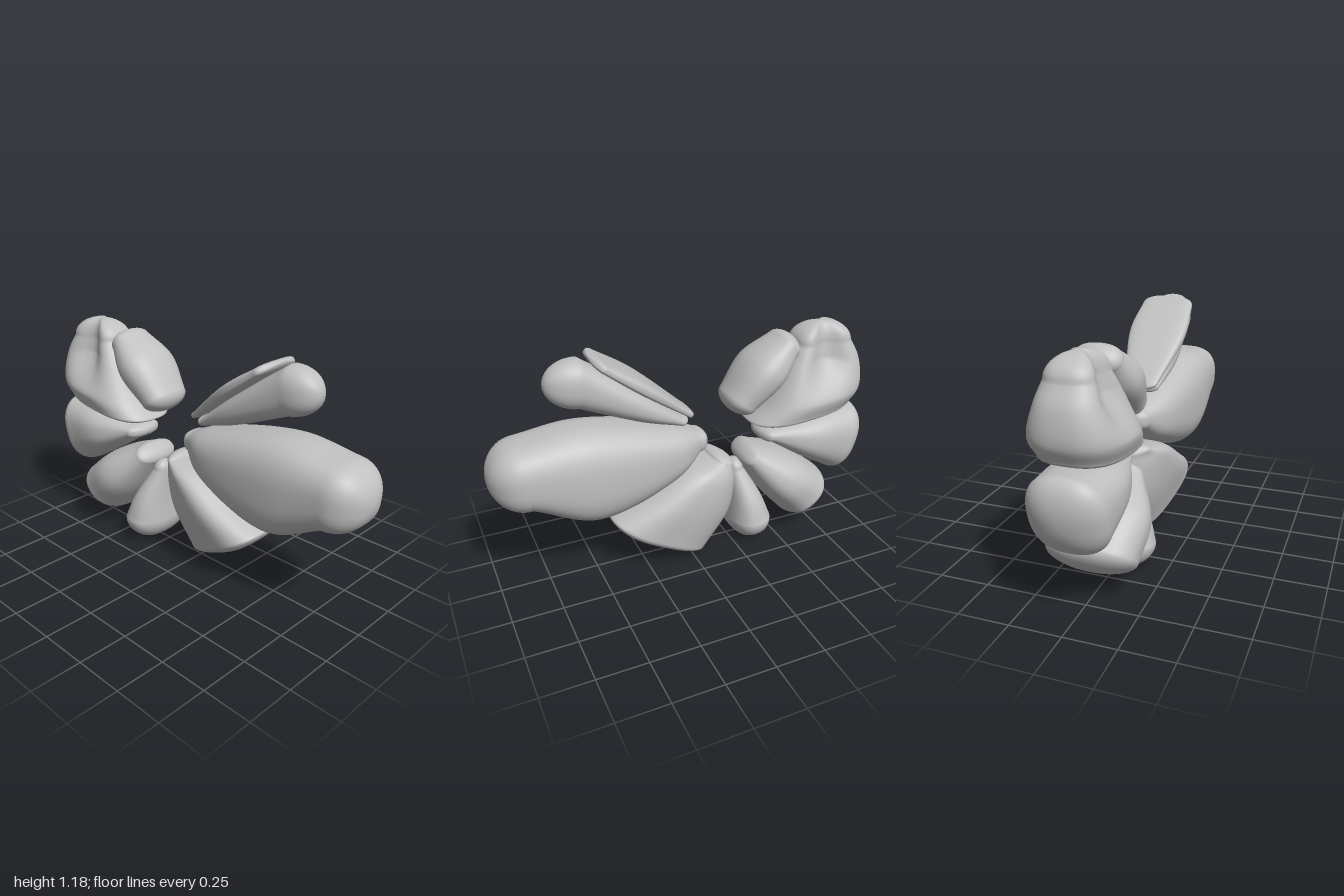
import * as THREE from 'three';

const RING = 56, STEPS = 40, CAP = 14;
const power = (v, e) => Math.sign(v) * Math.abs(v) ** e;

// Rounded cross-section between edge points a and b, whose x holds the half-width.
// taper narrows the b edge, skew leans it sideways, dent hollows both flanks.
function makeRing(a, b, { shift = 0, square = 0.85, taper = 0, skew = 0 }, dent) {
  const mid = a.clone().lerp(b, 0.5), half = a.clone().sub(b).multiplyScalar(0.5);
  return Array.from({ length: RING }, (_, i) => {
    const angle = (i / RING) * Math.PI * 2;
    const u = power(Math.cos(angle), square), v = power(Math.sin(angle), square);
    const p = mid.clone().addScaledVector(half, u);
    const pinch = 1 - dent * Math.exp(-(((u - 0.1) / 0.5) ** 2));
    const towardB = (1 - u) / 2;
    p.x = shift + skew * towardB + a.x * v * pinch * (1 - taper * towardB);
    return p;
  });
}

// Shrinks a ring along a quarter ellipse, away from the neighbouring ring
function makeCap(ring, neighbour, depth) {
  const middle = (r) => r[0].clone().lerp(r[RING / 2], 0.5);
  const centre = middle(ring), edge = ring[0].clone().sub(ring[RING / 2]);
  const out = new THREE.Vector3(0, -edge.z, edge.y).normalize();
  if (out.dot(centre.clone().sub(middle(neighbour))) < 0) out.negate();
  return Array.from({ length: CAP }, (_, k) => {
    const angle = ((k + 1) / CAP) * Math.PI / 2;
    const scale = Math.max(Math.cos(angle), 0.001);
    const origin = centre.clone().addScaledVector(out, depth * Math.sin(angle));
    return ring.map((p) => p.clone().sub(centre).multiplyScalar(scale).add(origin));
  });
}

// Lofts a lobe through stations [zA, yA, zB, yB, halfWidth] and rounds both ends
function makeLobe(stations, startDepth, endDepth, options) {
  const edgeA = new THREE.CatmullRomCurve3(stations.map(([z, y, , , w]) => new THREE.Vector3(w, y, z)));
  const edgeB = new THREE.CatmullRomCurve3(stations.map(([, , z, y, w]) => new THREE.Vector3(w, y, z)));
  const body = [];
  for (let i = 0; i <= STEPS; i++) {
    const t = i / STEPS;
    const dent = (options.pinch ?? 0) * THREE.MathUtils.smoothstep(t, 0.3, 0.75);
    body.push(makeRing(edgeA.getPoint(t), edgeB.getPoint(t), options, dent));
  }
  const rings = [
    ...makeCap(body[0], body[1], startDepth).reverse(),
    ...body,
    ...makeCap(body[STEPS], body[STEPS - 1], endDepth),
  ];
  const index = [];
  for (let r = 0; r < rings.length - 1; r++) {
    for (let i = 0; i < RING; i++) {
      const a = r * RING + i, b = r * RING + (i + 1) % RING;
      index.push(a, b, a + RING, b, b + RING, a + RING);
    }
  }
  // Turn the faces outward whichever way the lobe runs
  const points = rings.flat();
  let volume = 0;
  for (let i = 0; i < index.length; i += 3) {
    const [a, b, c] = [points[index[i]], points[index[i + 1]], points[index[i + 2]]];
    volume += a.dot(b.clone().cross(c));
  }
  if (volume < 0) index.reverse();
  const geometry = new THREE.BufferGeometry().setFromPoints(points);
  geometry.setIndex(index);
  geometry.computeVertexNormals();
  return geometry;
}

export function createModel() {
  const group = new THREE.Group();
  group.name = 'lobeRing';
  const stone = new THREE.MeshStandardMaterial({ color: 0xc0c0c0 });
  stone.name = 'stone grey';

  const addLobe = (name, stations, startDepth, endDepth, options = {}) => {
    const mesh = new THREE.Mesh(makeLobe(stations, startDepth, endDepth, options), stone);
    mesh.name = name;
    group.add(mesh);
  };

  // Front lobes
  addLobe('largeFrontLobe', [
    [-0.05, 0.715, -0.05, 0.6, 0.08], [0.08, 0.765, 0.08, 0.5, 0.15],
    [0.55, 0.86, 0.5, 0.365, 0.2], [0.85, 0.83, 0.82, 0.5, 0.18],
  ], 0.055, 0.165, { shift: 0.02, square: 0.75 });
  addLobe('upperFrontLobe', [
    [0.05, 0.83, 0.06, 0.775, 0.09], [0.25, 0.99, 0.25, 0.83, 0.12], [0.53, 1.185, 0.55, 0.95, 0.1],
  ], 0.05, 0.16, { shift: 0.02 });
  addLobe('upperFrontSlab', [
    [0, 0.845, 0.02, 0.815, 0.085], [0.25, 1.06, 0.28, 1, 0.15], [0.42, 1.17, 0.45, 1.13, 0.135],
  ], 0.04, 0.06, { shift: 0.01, square: 0.6 });

  // Lower lobes
  addLobe('lowerFrontLobe', [
    [-0.12, 0.55, -0.23, 0.51, 0.13], [0.035, 0.52, -0.235, 0.41, 0.19],
    [0.25, 0.4, -0.21, 0.25, 0.215], [0.42, 0.31, -0.07, 0.035, 0.2],
  ], 0.035, 0.06, { square: 0.75, taper: 0.4, skew: 0.06 });
  addLobe('smallBottomLobe', [
    [-0.245, 0.43, -0.325, 0.435, 0.06], [-0.245, 0.25, -0.42, 0.27, 0.155], [-0.24, 0.13, -0.47, 0.15, 0.19],
  ], 0.05, 0.13);
  addLobe('lowerRearLobe', [
    [-0.4, 0.55, -0.31, 0.46, 0.13], [-0.62, 0.455, -0.43, 0.27, 0.225], [-0.79, 0.325, -0.55, 0.13, 0.215],
  ], 0.04, 0.08);

  // Rear lobes
  addLobe('rearLobe', [
    [-0.46, 0.65, -0.46, 0.57, 0.11], [-0.7, 0.695, -0.64, 0.45, 0.185], [-0.94, 0.71, -0.83, 0.335, 0.185],
  ], 0.055, 0.11, { square: 0.8 });
  addLobe('upperRearLobe', [
    [-0.345, 0.7, -0.93, 0.76, 0.19], [-0.43, 0.79, -0.97, 0.84, 0.21],
    [-0.545, 0.99, -0.96, 0.98, 0.17], [-0.6, 1.08, -0.91, 1.08, 0.13],
  ], 0.045, 0.1, { pinch: 0.5, square: 0.75 });
  addLobe('upperInnerLobe', [
    [-0.215, 0.88, -0.36, 0.785, 0.13], [-0.33, 1.04, -0.5, 0.91, 0.16], [-0.49, 1.14, -0.58, 1.03, 0.115],
  ], 0.07, 0.06, { shift: 0.01 });
  return group;
}
